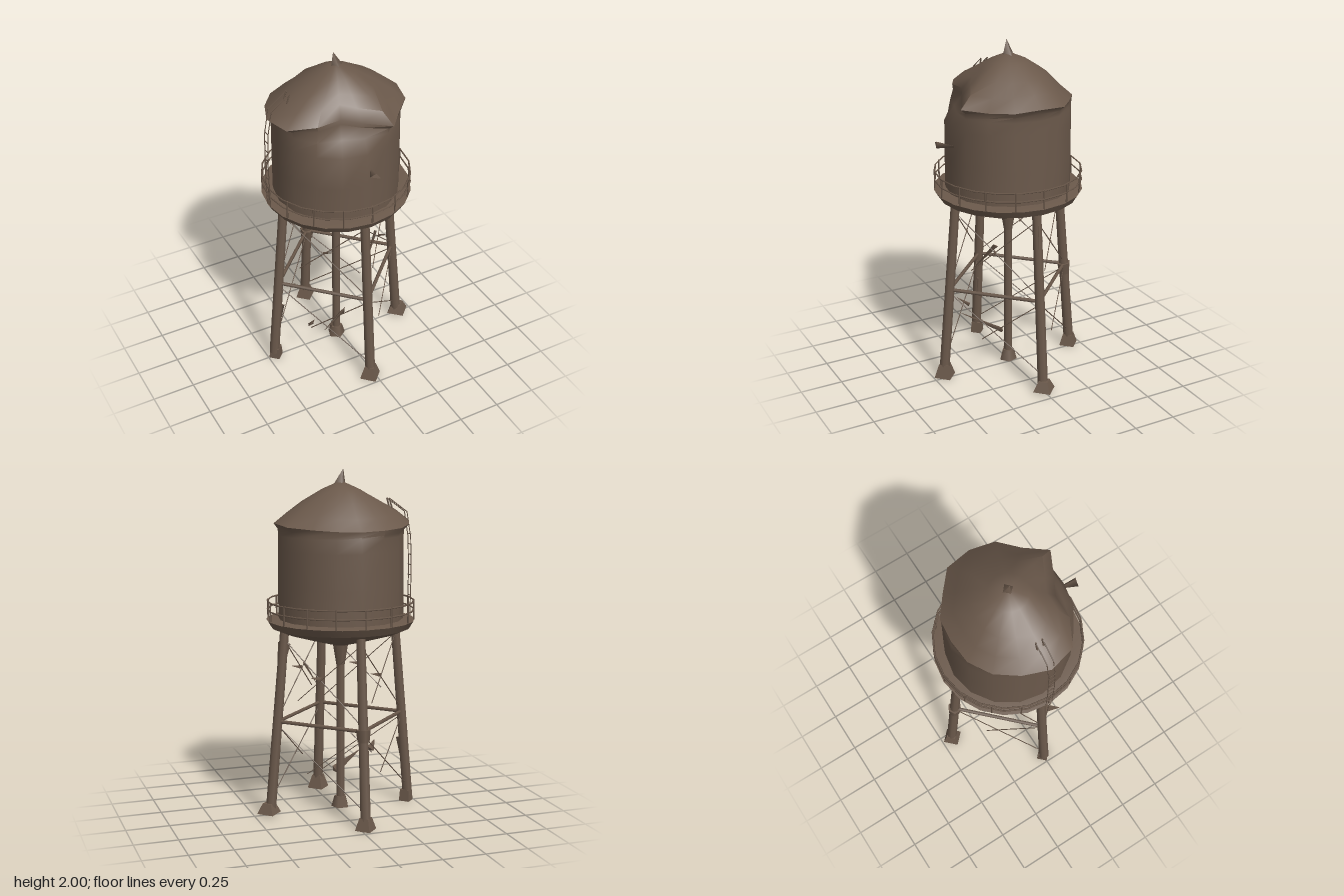
import * as THREE from 'three';
import { toCreasedNormals } from 'three/addons/utils/BufferGeometryUtils.js';

export function createModel() {
  const model = new THREE.Group();
  model.name = 'waterTower';
  const tower = new THREE.Group();
  tower.name = 'tower';
  tower.position.x = -0.03;
  model.add(tower);

  const rust = new THREE.MeshStandardMaterial({ color: 0x6b594b, side: THREE.DoubleSide });
  rust.name = 'rustBrown';

  const V = (x, y, z) => new THREE.Vector3(x, y, z);
  const polar = (a, r, y) => V(Math.cos(a) * r, y, Math.sin(a) * r);

  function add(name, geometry) {
    const mesh = new THREE.Mesh(geometry, rust);
    mesh.name = name;
    tower.add(mesh);
    return mesh;
  }

  // Round bar from a to b
  function strut(name, a, b, ra, rb = ra, sides = 5) {
    const dir = b.clone().sub(a);
    const mesh = add(name, new THREE.CylinderGeometry(rb, ra, dir.length(), sides));
    mesh.position.copy(a).addScaledVector(dir, 0.5);
    mesh.quaternion.setFromUnitVectors(V(0, 1, 0), dir.normalize());
    return mesh;
  }

  // Torn, flattened scrap of metal pointing from a to b
  function shard(name, a, b, width) {
    const mesh = strut(name, a, b, width, 0.002, 3);
    mesh.scale.z = 0.45;
  }

  // Tank and crumpled roof: rings around the axis, eave radius and height vary by angle
  const eave = [[0.385, 1.7], [0.385, 1.69], [0.355, 1.68], [0.4, 1.69], [0.29, 1.71], [0.255, 1.73],
    [0.33, 1.72], [0.41, 1.7], [0.42, 1.7], [0.39, 1.69], [0.38, 1.68], [0.37, 1.675],
    [0.352, 1.67], [0.365, 1.675], [0.355, 1.68], [0.395, 1.69]];
  const n = eave.length;
  const rings = [
    () => [0.362, 1.13],
    () => [0.362, 1.35],
    () => [0.36, 1.55],
    (e) => [Math.min(0.36, 0.36 + (e - 0.36) * 0.55), 1.63],
    (e, y) => [Math.min(0.362, e - 0.004), y - 0.03],
    (e, y) => [e, y],
    (e, y) => [e * 0.8, y + 0.064],
    (e) => [e * 0.52 + 0.025, 1.815 + (0.4 - e) * 0.12],
    () => [0.11, 1.886],
    () => [0.001, 1.935],
  ];
  const pos = [], idx = [];
  rings.forEach((ring, i) => eave.forEach(([e, eaveY], j) => {
    const [r, y] = ring(e, eaveY);
    pos.push(...polar((j / n) * Math.PI * 2, r, y).toArray());
    if (i === rings.length - 1) return;
    const p = i * n + j, q = i * n + (j + 1) % n;
    idx.push(p, p + n, q, q, p + n, q + n);
  }));
  const tank = new THREE.BufferGeometry();
  tank.setAttribute('position', new THREE.Float32BufferAttribute(pos, 3));
  tank.setIndex(idx);
  add('tankAndRoof', toCreasedNormals(tank, 0.9));

  // Finial
  strut('finial', V(0.005, 1.91, 0), V(-0.015, 2, 0), 0.036, 0.001, 4);

  // Walkway with conical tank bottom
  const profile = [[0.001, 0.978], [0.16, 1.02], [0.34, 1.073], [0.405, 1.1], [0.43, 1.142], [0.36, 1.15], [0.001, 1.15]];
  const deck = new THREE.LatheGeometry(profile.map(([x, y]) => new THREE.Vector2(x, y)), 20);
  add('walkwayAndTankBottom', toCreasedNormals(deck, 0.6));

  // Railing
  for (const y of [1.2, 1.25]) {
    const rail = add('railing', new THREE.TorusGeometry(0.424, 0.005, 4, 20));
    rail.rotation.x = Math.PI / 2;
    rail.position.y = y;
  }
  for (let i = 0; i < 16; i++) {
    const a = (i / 16) * Math.PI * 2;
    strut('railingPost', polar(a, 0.422, 1.14), polar(a, 0.422, 1.255), 0.005, 0.005, 4);
  }

  // Central riser pipe
  strut('riserPipe', V(0, 0.02, 0), V(0, 1.0, 0), 0.025, 0.025, 8);
  strut('riserTop', V(0, 0.87, 0), V(0, 1.01, 0), 0.026, 0.05, 8);
  strut('riserFoot', V(0, 0.01, 0), V(0, 0.075, 0), 0.054, 0.036, 5);

  // Legs, feet and bracing; the legs lean out towards the ground
  const legR = (y) => 0.43 - (y - 0.04) * 0.087;
  const onLeg = (k, y) => polar(k * Math.PI / 2, legR(y), y);
  // Foot of each leg: distance from the axis, base radius, height
  const feet = [[0.442, 0.072, 0.06], [0.428, 0.068, 0.08], [0.42, 0.045, 0.07], [0.428, 0.064, 0.07]];
  for (let k = 0; k < 4; k++) {
    strut('leg', onLeg(k, 0.04), onLeg(k, 1.09), 0.031, 0.027, 8);
    const [footR, base, height] = feet[k];
    const foot = add('foot', toCreasedNormals(new THREE.CylinderGeometry(0.038, base, height, 4), 0.4));
    foot.position.copy(polar(k * Math.PI / 2, footR, height / 2 + (k === 0 ? 0.015 : 0.002)));
    foot.rotation.y = Math.PI / 2 - k * Math.PI / 2;

    strut('crossBar', onLeg(k, 0.56), onLeg(k + 1, 0.56), 0.011);

    // Thin tie rods, some of them snapped short
    for (const [low, high, reach] of [[0.1, 0.54, 0.6], [0.58, 1.04, 0.75]]) {
      strut('tieRod', onLeg(k, low), onLeg(k + 1, high), 0.003, 0.003, 4);
      const start = onLeg(k, high);
      strut('tieRod', start, start.clone().lerp(onLeg(k + 1, low), reach), 0.003, 0.003, 4);
    }
    const knot = onLeg(k, 0.83).lerp(onLeg(k + 1, 0.83), 0.5);
    shard('tornGusset', knot, knot.clone().add(V(0.05, 0.005, 0.03)), 0.014);
  }
  strut('barJoint', onLeg(3, 0.5), onLeg(3, 0.57), 0.034, 0.042, 6);

  // Scraps of torn bracing and tank plate
  shard('tornBrace', V(-0.24, 0.3, 0.14), V(-0.29, 0.34, 0.2), 0.028);
  shard('tornBrace', V(0.02, 0.22, 0.05), V(-0.2, 0.28, 0.22), 0.03);
  shard('tornBrace', V(0.17, 0.86, 0.17), V(0.06, 0.7, 0.25), 0.018);
  shard('tornBrace', V(0.34, 1.02, 0), V(0.385, 0.72, 0.01), 0.042);
  shard('tornBrace', V(-0.385, 0.4, 0.01), V(-0.42, 0.1, 0), 0.03);
  shard('tornPlate', V(0, 1.465, 0.45), V(0.03, 1.44, 0.34), 0.036);

  // Ladder climbing the right side and bending over the roof edge
  const path = [[-0.425, 1.14], [-0.43, 1.4], [-0.425, 1.6], [-0.4, 1.75], [-0.29, 1.83]];
  for (const z of [-0.02, 0.02]) {
    for (let i = 1; i < path.length; i++) {
      strut('ladderRail', V(...path[i - 1], z), V(...path[i], z), 0.003, 0.003, 4);
    }
    strut('ladderHook', V(-0.29, 1.83, z), V(-0.31, 1.76, z), 0.005, 0.005, 4);
  }
  for (let i = 0; i < 8; i++) {
    const y = 1.2 + i * 0.06;
    strut('ladderRung', V(-0.427, y, -0.02), V(-0.427, y, 0.02), 0.003, 0.003, 4);
  }

  return model;
}
